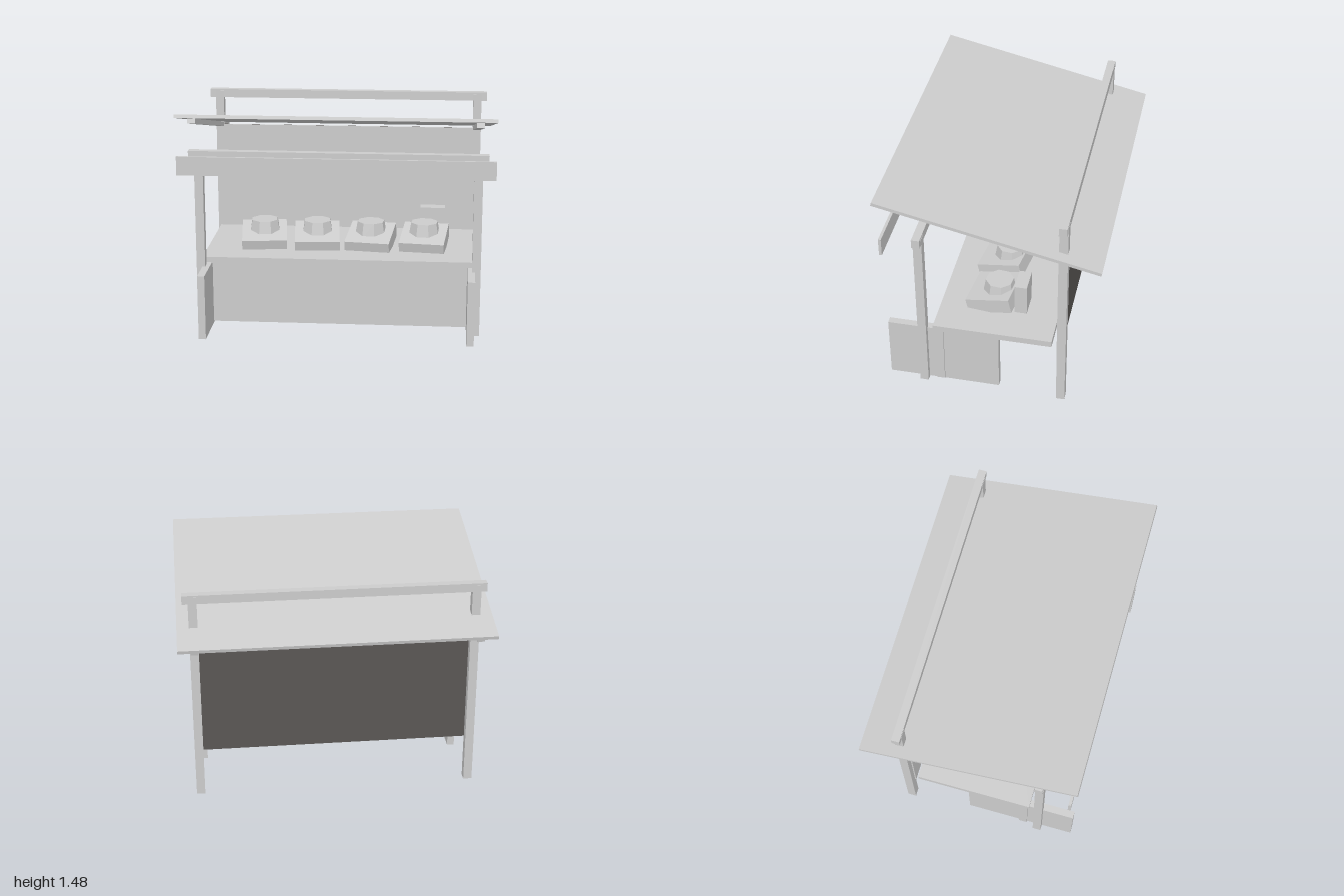
import * as THREE from 'three';

export function createModel() {
  const model = new THREE.Group();
  model.name = 'marketStall';
  const grey = new THREE.MeshStandardMaterial({ color: 0xcccccc });
  grey.name = 'light grey';
  const dark = new THREE.MeshStandardMaterial({ color: 0x5a5654 });
  dark.name = 'dark cloth backing';

  // Box given by its min and max on each axis
  function box(name, [x0, x1], [y0, y1], [z0, z1], material = grey, parent = model) {
    const mesh = new THREE.Mesh(new THREE.BoxGeometry(x1 - x0, y1 - y0, z1 - z0), material);
    mesh.position.set((x0 + x1) / 2, (y0 + y1) / 2, (z0 + z1) / 2);
    mesh.name = name;
    parent.add(mesh);
    return mesh;
  }
  // The same box on the left and right
  function pair(name, [x0, x1], y, z, parent = model) {
    box(name + 'Left', [x0, x1], y, z, grey, parent);
    box(name + 'Right', [-x1, -x0], y, z, grey, parent);
  }

  // Posts and the crossbars resting on them
  pair('frontPost', [0.867, 0.923], [0, 1.19], [0.427, 0.483]);
  pair('rearPost', [0.867, 0.923], [0, 1.425], [-0.483, -0.427]);
  box('frontCrossbar', [-0.96, 0.96], [1.143, 1.203], [0.429, 0.481]);
  box('rearCrossbar', [-0.96, 0.96], [1.38, 1.437], [-0.481, -0.429]);

  // Sloping roof with a beam under each side
  const roof = new THREE.Group();
  roof.name = 'roof';
  roof.position.set(0, 1.327, 0);
  roof.rotation.x = -0.221;
  box('roofSheet', [-1, 1], [-0.022, 0], [-0.72, 0.72], grey, roof);
  pair('roofBeam', [0.87, 0.92], [-0.055, -0.024], [-0.697, 0.697], roof);
  model.add(roof);

  // Front valance and back cloth
  box('valance', [-1, 1], [1.09, 1.21], [0.658, 0.676]);
  box('backPanel', [-0.88, 0.88], [0.305, 1.19], [-0.428, -0.418]);
  box('backPanelBacking', [-0.88, 0.88], [0.305, 1.19], [-0.432, -0.428], dark);

  // Counter with side boards, legs and front board
  box('tableTop', [-0.9, 0.9], [0.425, 0.468], [-0.388, 0.388]);
  pair('sideBoard', [0.838, 0.885], [0.005, 0.432], [-0.04, 0.69]);
  pair('tableLeg', [0.842, 0.897], [0.012, 0.425], [0.322, 0.376]);
  box('frontBoard', [-0.838, 0.838], [0.015, 0.425], [0.335, 0.365]);
  box('frontBoardBacking', [-0.838, 0.838], [0.33, 0.425], [0.33, 0.335], dark);

  // Tilted crates, each holding a faceted mound
  const moundShape = new THREE.CylinderGeometry(0.092, 0.112, 0.11, 8);
  moundShape.rotateY(Math.PI / 8);
  const mounds = moundShape.toNonIndexed();
  mounds.computeVertexNormals();
  [[-0.53, 0.12], [-0.172, 0.09], [0.19, -0.13], [0.55, -0.11]].forEach(([x, yaw], i) => {
    const crate = new THREE.Mesh(new THREE.BoxGeometry(0.3, 0.1, 0.3), grey);
    crate.name = 'crate' + (i + 1);
    crate.position.set(x, 0.516, 0.05);
    crate.rotation.set(0.224, yaw, 0, 'YXZ');
    const mound = new THREE.Mesh(mounds, grey);
    mound.name = 'mound' + (i + 1);
    mound.position.set(x, 0.579, 0.02);
    mound.rotation.y = yaw;
    model.add(crate, mound);
  });

  // Upright block on the counter
  box('counterBlock', [0.52, 0.685], [0.485, 0.698], [-0.185, -0.105]);

  return model;
}
